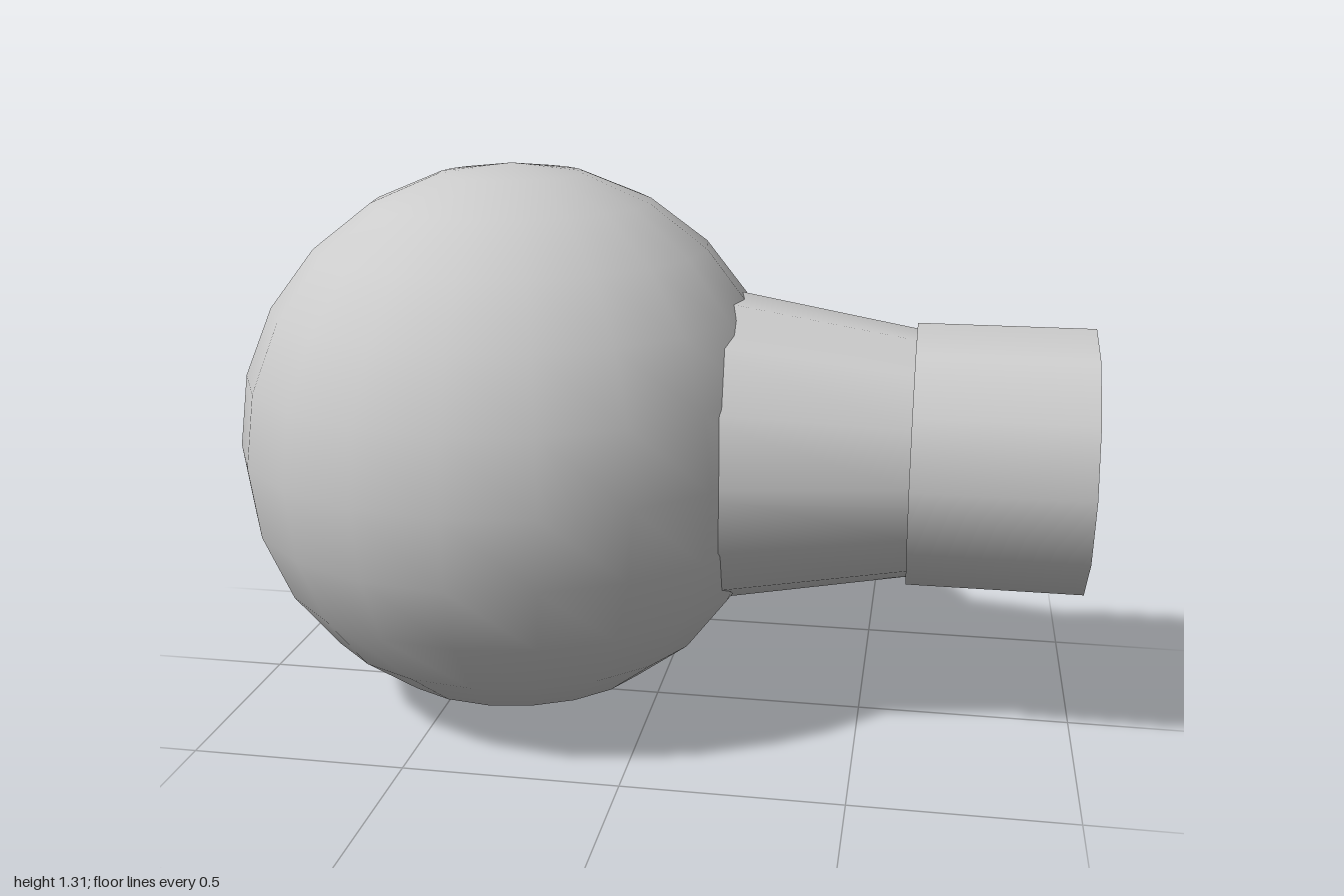
import * as THREE from 'three';

const R = 0.655; // ball radius

export function createModel() {
  const group = new THREE.Group();
  const material = new THREE.MeshStandardMaterial({ color: 0xcccccc });

  const add = (name, geometry, x) => {
    const mesh = new THREE.Mesh(geometry, material);
    mesh.name = name;
    mesh.position.set(x, R, 0);
    group.add(mesh);
  };

  // Round section lying along x, from x0 (radius r0) to x1 (radius r1)
  const section = (name, x0, r0, x1, r1, sides) => {
    const geometry = new THREE.CylinderGeometry(r1, r0, x1 - x0, sides);
    geometry.rotateZ(-Math.PI / 2);
    add(name, geometry, (x0 + x1) / 2);
  };

  // Ball with its poles on the y axis
  add('bulb', new THREE.SphereGeometry(R, 20, 12), -1 + R);

  // Tapered neck, starting inside the ball
  section('neck', 0.1, 0.378, 0.605, 0.29, 14);

  // Slightly wider straight end
  section('base', 0.603, 0.31, 1, 0.31, 12);

  return group;
}
